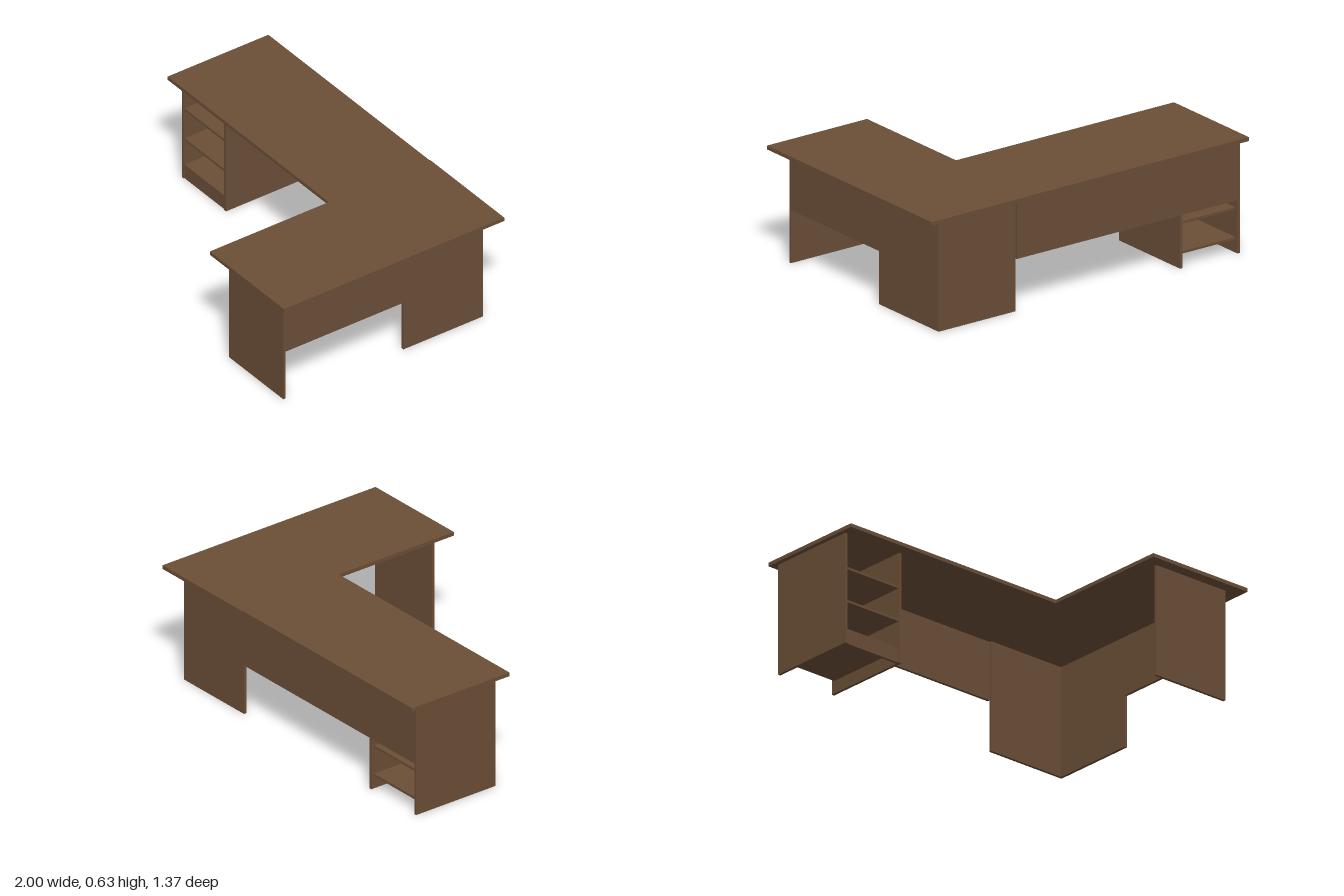
import * as THREE from 'three';

export function createModel() {
  const desk = new THREE.Group();
  desk.name = 'cornerDesk';
  const wood = new THREE.MeshStandardMaterial({ color: 0x6b4e37 });
  wood.name = 'brownWood';

  // Board given by its lower and upper limits on each axis
  function board(parent, name, [x0, x1], [y0, y1], [z0, z1]) {
    const mesh = new THREE.Mesh(new THREE.BoxGeometry(x1 - x0, y1 - y0, z1 - z0), wood);
    mesh.name = name;
    mesh.position.set((x0 + x1) / 2, (y0 + y1) / 2, (z0 + z1) / 2);
    parent.add(mesh);
  }

  const underside = 0.607;
  const full = [0, underside];
  const apron = [0.284, underside];

  // Two tops meeting in an L
  board(desk, 'mainTop', [-1, 0.37], [underside, 0.627], [-0.68, -0.055]);
  board(desk, 'returnTop', [0.37, 1], [underside, 0.627], [-0.684, 0.684]);

  // Return: end leg, corner legs and hanging panels
  board(desk, 'returnEndLeg', [0.447, 0.907], full, [0.605, 0.62]);
  board(desk, 'returnModestyPanel', [0.892, 0.907], apron, [-0.125, 0.605]);
  board(desk, 'cornerSideLeg', [0.892, 0.907], full, [-0.605, -0.125]);
  board(desk, 'cornerBackLeg', [0.425, 0.907], full, [-0.62, -0.605]);
  board(desk, 'mainModestyPanel', [-0.96, 0.425], apron, [-0.633, -0.618]);

  // Open shelf pedestal under the far end of the main top
  const pedestal = new THREE.Group();
  pedestal.name = 'shelfPedestal';
  desk.add(pedestal);
  board(pedestal, 'pedestalOuterSide', [-0.975, -0.96], full, [-0.635, -0.125]);
  board(pedestal, 'pedestalInnerSide', [-0.615, -0.6], full, [-0.635, -0.125]);
  for (const y of [0.07, 0.23, 0.412]) {
    board(pedestal, 'shelf', [-0.96, -0.615], [y, y + 0.013], [-0.618, -0.13]);
  }
  board(pedestal, 'kickBoard', [-0.96, -0.615], [0, 0.07], [-0.145, -0.13]);

  return desk;
}
